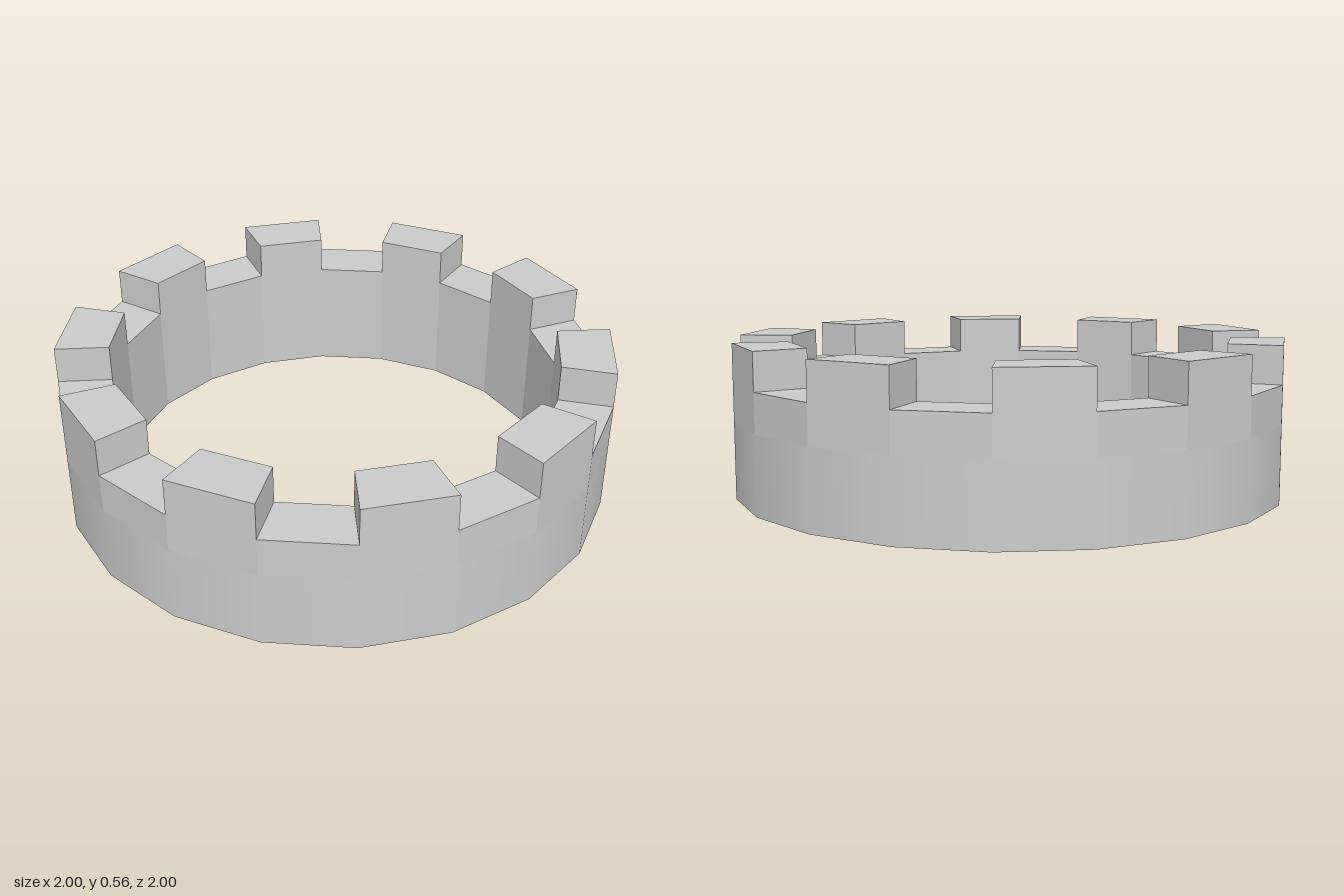
import * as THREE from 'three';

const SIDES = 20;
const OUTER = 1, INNER = 0.806;
const BAND = 0.28, NOTCH = 0.42, TOP = 0.555;

// Flat-faced geometry from quads, corners counter-clockwise seen from outside
function quadGeometry(quads) {
  const points = quads.flatMap(([a, b, c, d]) => [a, b, c, a, c, d]);
  const geometry = new THREE.BufferGeometry().setFromPoints(points);
  geometry.computeVertexNormals();
  return geometry;
}

// One wall segment; raised ones also show their two end faces above the notches
function segmentGeometry(index, raised) {
  const step = (Math.PI * 2) / SIDES;
  const a0 = index * step, a1 = a0 + step;
  const top = raised ? TOP : NOTCH;
  const p = (r, a, y) => new THREE.Vector3(r * Math.sin(a), y, r * Math.cos(a));
  const quads = [
    [p(OUTER, a0, BAND), p(OUTER, a1, BAND), p(OUTER, a1, top), p(OUTER, a0, top)],
    [p(INNER, a1, 0), p(INNER, a0, 0), p(INNER, a0, top), p(INNER, a1, top)],
    [p(OUTER, a0, top), p(OUTER, a1, top), p(INNER, a1, top), p(INNER, a0, top)],
  ];
  if (raised) {
    quads.push(
      [p(INNER, a0, NOTCH), p(OUTER, a0, NOTCH), p(OUTER, a0, top), p(INNER, a0, top)],
      [p(OUTER, a1, NOTCH), p(INNER, a1, NOTCH), p(INNER, a1, top), p(OUTER, a1, top)],
    );
  }
  return quadGeometry(quads);
}

export function createModel() {
  const model = new THREE.Group();
  model.name = 'battlementRing';
  const smooth = new THREE.MeshStandardMaterial({ color: 0xcccccc });
  const flat = new THREE.MeshStandardMaterial({ color: 0xcccccc, flatShading: true });

  const add = (name, geometry, material) => {
    const mesh = new THREE.Mesh(geometry, material);
    mesh.name = name;
    model.add(mesh);
  };

  // Smooth outer band around the foot
  const band = new THREE.CylinderGeometry(OUTER, OUTER, BAND, SIDES, 1, true);
  add('baseBand', band.translate(0, BAND / 2, 0), smooth);

  // Underside
  add('underside', new THREE.RingGeometry(INNER, OUTER, SIDES).rotateX(Math.PI / 2), flat);

  // Alternating notches and merlons
  for (let i = 0; i < SIDES; i++) {
    const raised = i % 2 === 1;
    add(raised ? 'merlon' : 'notch', segmentGeometry(i, raised), flat);
  }
  return model;
}
